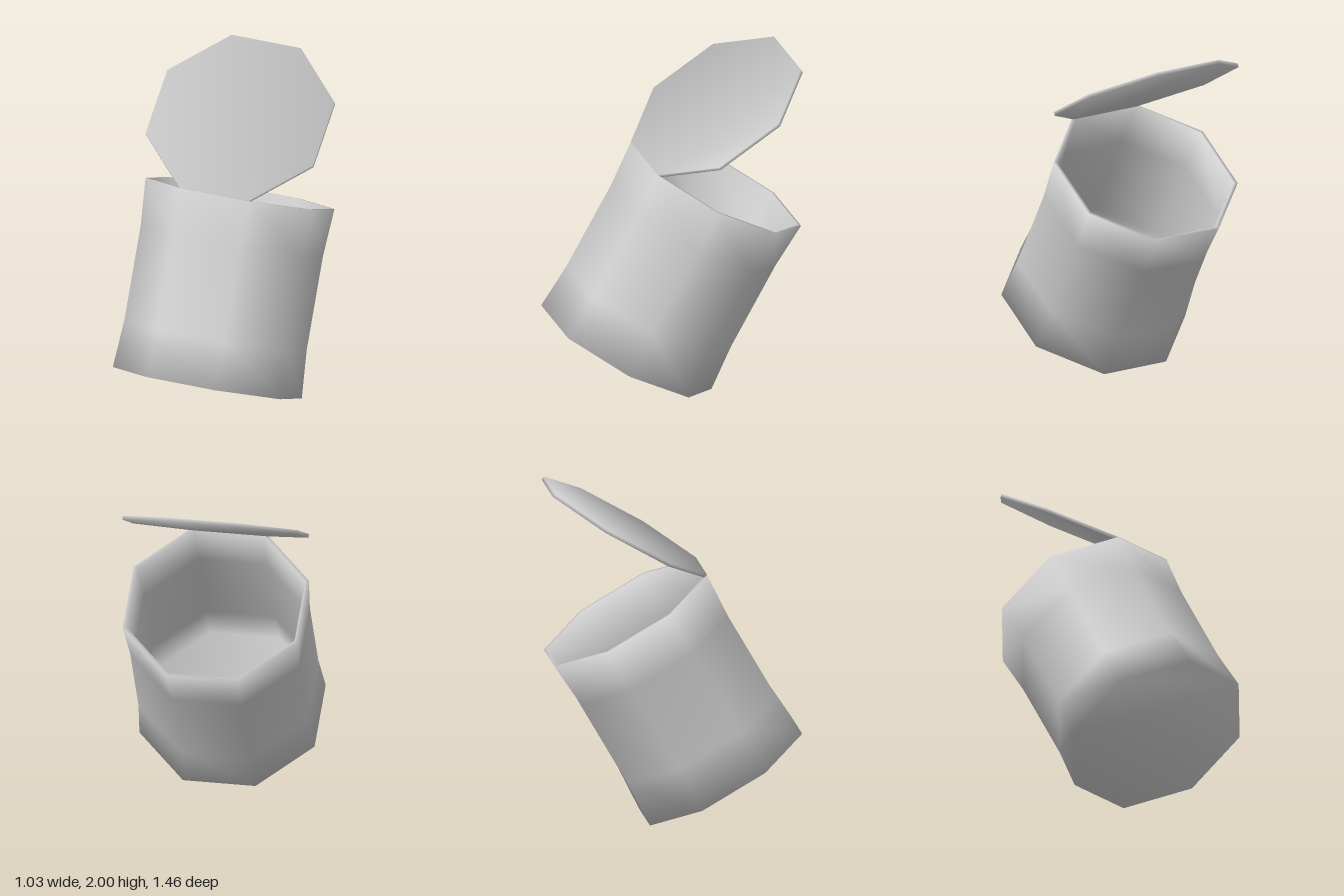
import * as THREE from 'three';

const SIDES = 8;
const R = 0.5575;      // corner radius at the rims and lid
const WAIST = 0.538;   // corner radius along the middle
const HEIGHT = 1.115;
const WALL = 0.022;
const TILT = Math.PI / 6;

// Closed octagonal solid from [radius, height] rings, capped at both ends,
// with normals blended across every edge of the profile.
function octagonalSolid(profile) {
  const first = profile[0], last = profile[profile.length - 1];
  const path = [[0, first[1]], ...profile, [0, last[1]]];
  const segmentNormal = (a, b) => new THREE.Vector2(b[1] - a[1], a[0] - b[0]).normalize();
  const position = [], normal = [], index = [];

  for (let k = 1; k < path.length - 1; k++) {
    const n = segmentNormal(path[k - 1], path[k]).add(segmentNormal(path[k], path[k + 1])).normalize();
    for (let i = 0; i < SIDES; i++) {
      const a = ((i + 0.5) / SIDES) * Math.PI * 2;
      const s = Math.sin(a), c = Math.cos(a);
      position.push(path[k][0] * s, path[k][1], path[k][0] * c);
      normal.push(n.x * s, n.y, n.x * c);
    }
  }

  // Walls between neighbouring rings
  for (let k = 0; k < profile.length - 1; k++) {
    for (let i = 0; i < SIDES; i++) {
      const a = k * SIDES + i, b = k * SIDES + ((i + 1) % SIDES);
      index.push(a, b, a + SIDES, b, b + SIDES, a + SIDES);
    }
  }

  // End caps
  const end = (profile.length - 1) * SIDES;
  for (let i = 1; i < SIDES - 1; i++) {
    index.push(0, i + 1, i);
    index.push(end, end + i, end + i + 1);
  }

  const geometry = new THREE.BufferGeometry();
  geometry.setAttribute('position', new THREE.Float32BufferAttribute(position, 3));
  geometry.setAttribute('normal', new THREE.Float32BufferAttribute(normal, 3));
  geometry.setIndex(index);
  return geometry;
}

export function createModel() {
  const model = new THREE.Group();
  model.name = 'openCan';
  const material = new THREE.MeshStandardMaterial({ color: 0xcccccc });

  // Hollow can: up the outside, over the rim, down the inside to the floor
  const can = new THREE.Mesh(octagonalSolid([
    [R, 0],
    [WAIST, HEIGHT * 0.25],
    [WAIST, HEIGHT * 0.75],
    [R, HEIGHT],
    [R - WALL, HEIGHT],
    [WAIST - WALL, HEIGHT * 0.75],
    [WAIST - WALL, HEIGHT * 0.25],
    [R - WALL, WALL],
  ]), material);
  can.name = 'canBody';
  can.position.set(0, 0.258, 0.285);
  can.rotation.x = -TILT;
  model.add(can);

  // Thin lid hinged open at the front of the rim
  const lid = new THREE.Mesh(octagonalSolid([[R, -WALL], [R, 0]]), material);
  lid.name = 'lid';
  lid.position.set(0, 1.742, -0.273);
  lid.rotation.x = TILT;
  model.add(lid);

  return model;
}
